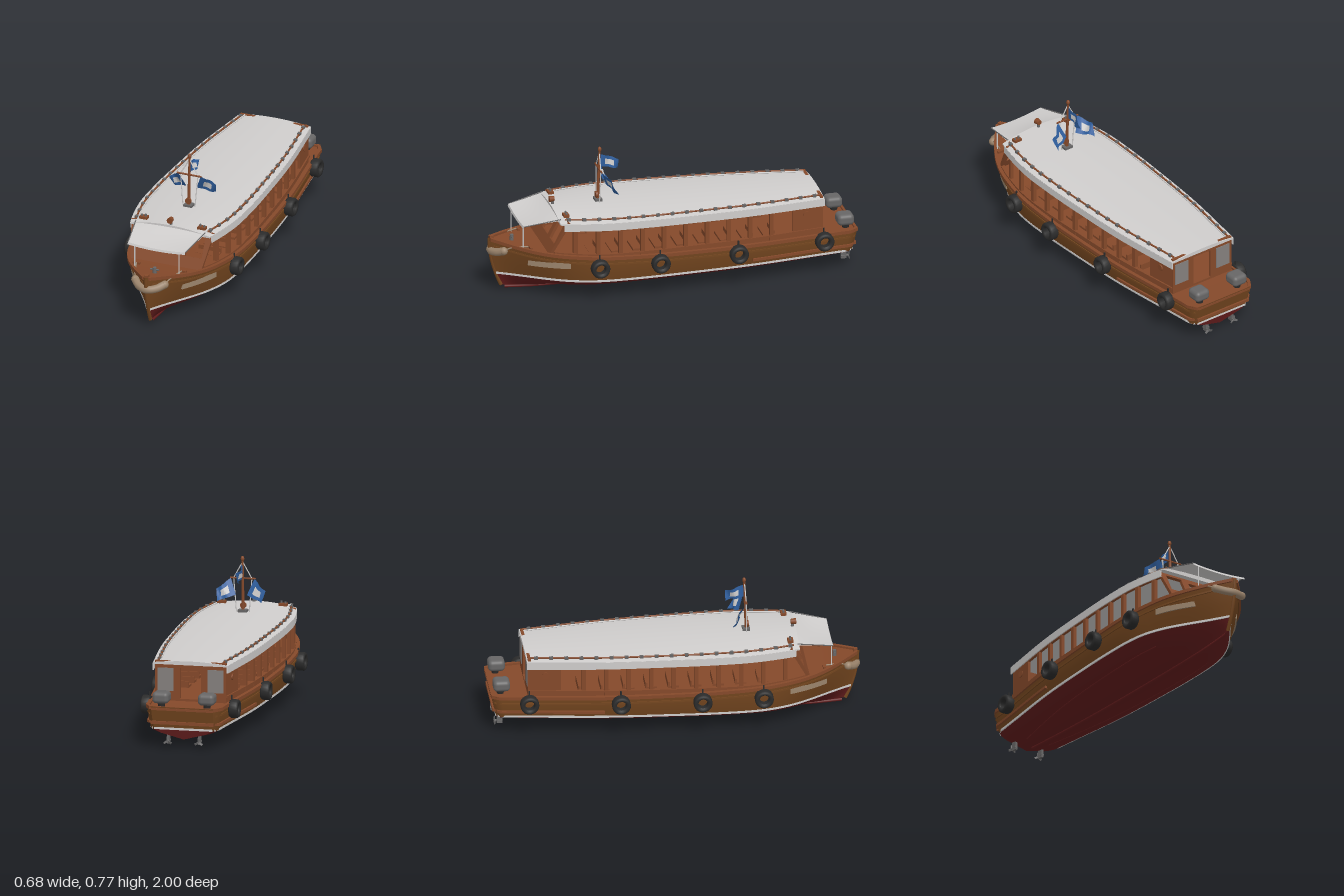
import * as THREE from 'three';
import { toCreasedNormals } from 'three/addons/utils/BufferGeometryUtils.js';
import { RoundedBoxGeometry } from 'three/addons/geometries/RoundedBoxGeometry.js';

const mat = (name, color, side = THREE.FrontSide) => {
  const m = new THREE.MeshStandardMaterial({ color, side });
  m.name = name;
  return m;
};
const V = (x, y, z) => new THREE.Vector3(x, y, z);

// smooth interpolation through [position, value] pairs
function curve(pts) {
  const slope = i => {
    const a = pts[Math.max(i - 1, 0)], b = pts[Math.min(i + 1, pts.length - 1)];
    return (b[1] - a[1]) / (b[0] - a[0]);
  };
  return z => {
    let i = 0;
    while (i < pts.length - 2 && z > pts[i + 1][0]) i++;
    const h = pts[i + 1][0] - pts[i][0], t = THREE.MathUtils.clamp((z - pts[i][0]) / h, 0, 1);
    const t2 = t * t, t3 = t2 * t;
    return (2 * t3 - 3 * t2 + 1) * pts[i][1] + (t3 - 2 * t2 + t) * h * slope(i)
      + (3 * t2 - 2 * t3) * pts[i + 1][1] + (t3 - t2) * h * slope(i + 1);
  };
}
const beam = curve([[-1, .17], [-.975, .195], [-.9, .203], [-.8, .215], [-.4, .265], [0, .288], [.2, .293],
  [.4, .287], [.6, .252], [.7, .22], [.8, .168], [.9, .095], [1, .008]]);
const sheer = curve([[-1, .225], [-.8, .225], [0, .235], [.4, .248], [.6, .26], [.8, .278], [1, .308]]);
const keel = curve([[-1, .045], [-.5, .02], [0, .008], [.8, .008], [1, .03]]);
const WATER = .1;

// skin a row of rings; rings run clockwise seen from the end they advance to
function loft(rings, closed = true, caps = true, crease = .6) {
  const n = rings[0].length, idx = [], pos = [];
  rings.forEach(r => r.forEach(p => pos.push(p.x, p.y, p.z)));
  for (let i = 0; i < rings.length - 1; i++) for (let j = 0; j < (closed ? n : n - 1); j++) {
    const k = (j + 1) % n, a = i * n + j, b = a + n, c = (i + 1) * n + k, d = i * n + k;
    idx.push(a, b, c, a, c, d);
  }
  const e = (rings.length - 1) * n;
  if (caps) for (let j = 1; j < n - 1; j++) idx.push(0, j, j + 1, e, e + j + 1, e + j);
  const g = new THREE.BufferGeometry();
  g.setAttribute('position', new THREE.Float32BufferAttribute(pos, 3));
  g.setIndex(idx);
  g.computeVertexNormals();
  return toCreasedNormals(g, crease);
}
const range = (a, b, n) => Array.from({ length: n + 1 }, (_, i) => a + (b - a) * i / n);

// half section of the hull at station s, keel to sheer
const MID = [0, .35, .72, .87, .925, .97, .99, 1], BOW = [0, .18, .4, .52, .6, .75, .88, 1];
const UP = [0, .3, .6, .85, 1, .35, .7, 1];
function section(s) {
  const u = THREE.MathUtils.smoothstep(s, .45, 1), w = 1 - THREE.MathUtils.smoothstep(s, -1, -.85);
  return MID.map((m, i) => {
    const y = i < 5 ? keel(s) + (WATER - keel(s)) * UP[i] : WATER + (sheer(s) - WATER) * UP[i];
    const d = 1 - y / sheer(s);
    return V(beam(s) * (m + (BOW[i] - m) * u), y, s - .012 * u - .08 * u * d * d + .05 * w * d);
  });
}
function hullAt(s, y) {
  const r = section(s);
  let i = 0;
  while (i < 6 && y > r[i + 1].y) i++;
  return r[i].clone().lerp(r[i + 1], (y - r[i].y) / (r[i + 1].y - r[i].y));
}
const rect = (x0, x1, y0, y1, z) => [V(x1, y1, z), V(x1, y0, z), V(x0, y0, z), V(x0, y1, z)];
// raised band running along the hull side
const band = (s0, s1, yAt, h, t) => loft(range(s0, s1, 40).map(s => {
  const p = hullAt(s, yAt(s));
  return rect(Math.max(p.x - .01, 0), p.x + t, p.y - h / 2, p.y + h / 2, p.z);
}));
// curved piece of cabin side; y0 and y1 are functions of z
const cabinX = z => beam(z) - .02;
const wall = (z0, z1, y0, y1, out = 0, t = .014, n = 24) => loft(range(z0, z1, n).map(z =>
  rect(cabinX(z) + out - t, cabinX(z) + out, y0(z), y1(z), z)));

export function createModel() {
  const boat = new THREE.Group();
  boat.name = 'passengerBoat';
  const hullWood = mat('hull wood', 0x74461f), wood = mat('cabin wood', 0x85492a, THREE.DoubleSide);
  const red = mat('bottom red', 0x641d1d), white = mat('canvas white', 0xcfcdcc, THREE.DoubleSide);
  const rubber = mat('rubber black', 0x2b2b2b), grey = mat('motor grey', 0x676666);
  const glass = mat('glass grey', 0x85807e), blue = mat('flag blue', 0x2f5f9f, THREE.DoubleSide);
  const rope = mat('rope beige', 0x9b846c);

  const add = (name, geo, m, x = 0, y = 0, z = 0, parent = boat) => {
    const o = new THREE.Mesh(geo, m);
    o.name = name;
    o.position.set(x, y, z);
    parent.add(o);
    return o;
  };
  const both = (name, geo, m, x, y, z) => {
    const l = add(name + 'Left', geo, m, x, y, z), flip = new THREE.Group();
    flip.scale.x = -1;
    flip.name = name + 'Right';
    flip.add(l.clone());
    boat.add(flip);
  };
  const tube = (pts, r, n = 24) => new THREE.TubeGeometry(new THREE.CatmullRomCurve3(pts), n, r, 8);
  const box = (x, y, z) => new THREE.BoxGeometry(x, y, z);
  const cyl = (a, b, h, n = 16) => new THREE.CylinderGeometry(a, b, h, n);
  const flipX = p => V(-p.x, p.y, p.z);

  // hull, deck, stem and keel
  const stations = [-1, -.99, -.975, -.95, ...range(-.9, .9, 45), .93, .96, .985, 1];
  add('hullBottom', loft(stations.map(s => {
    const r = section(s).slice(0, 5);
    return [...r.slice().reverse(), ...r.slice(1).map(flipX)];
  }), false), red);
  add('hullSides', loft(stations.map(s => {
    const r = section(s).slice(4);
    return [...r.slice().reverse(), ...r.map(flipX)];
  }), false), hullWood);
  add('deck', loft(stations.map(s => [V(-beam(s) + .003, sheer(s) - .008, s - .012 * (s > .7)),
    V(beam(s) - .003, sheer(s) - .008, s - .012 * (s > .7))]), false, false), wood);
  add('stem', tube(section(1).map(p => V(0, p.y, p.z - .004)), .01), hullWood);
  add('stemHead', box(.022, .03, .022), wood, 0, .303, .972);
  add('keel', tube(range(-.9, .9, 12).map(s => V(0, keel(s) + .001, s)), .008), red);
  both('gunwale', band(-1, .995, s => sheer(s) - .006, .018, .01), wood);
  both('upperStrake', band(-.99, .98, s => sheer(s) - .04, .01, .005), hullWood);
  both('lowerStrake', band(-.99, -.4, () => .137, .014, .012), wood);
  both('waterlineStripe', band(-.99, .995, () => .104, .012, .003), white);
  add('transomStripe', box(.32, .012, .006), white, 0, .104, -.972);
  add('transomStrake', box(.34, .016, .024), wood, 0, .137, -.98);
  add('transomRail', box(.34, .02, .014), wood, 0, .216, -.992);
  both('bowPlate', band(.6, .82, () => .2, .034, .004), rope);
  both('bilgeStrake', tube(range(-.85, .5, 12).map(s => hullAt(s, .055)), .004), red);

  // cabin sides: sill, pillars, rear panels and top beam
  const edge = z => .425 + .015 * (z + .8) / 1.4;
  both('cabinSill', wall(-.8, .69, z => sheer(z) - .02, z => Math.max(.255, sheer(z) + .008)), wood);
  both('cabinTopBeam', wall(-.8, .62, z => edge(z) - .04, edge), wood);
  both('rearPanel', wall(-.8, -.63, () => .22, edge), wood);
  for (let i = 0; i < 10; i++) {
    const z = -.51 + i * .12;
    both('windowPillar', wall(z - .011, z + .011, () => .23, edge, .004, .02, 1), wood);
  }
  both('sillRail', wall(-.8, .68, z => Math.max(.249, sheer(z)), z => Math.max(.259, sheer(z) + .01), .008, .02), wood);
  const lamp = cyl(.018, .018, .012).rotateZ(Math.PI / 2);
  both('sideLamp', lamp, wood, cabinX(-.71), .345, -.71);

  // front and rear bulkheads with openings
  const panel = (b, t, h, holes) => {
    const s = new THREE.Shape([[-b, 0], [b, 0], [t, h], [-t, h]].map(p => new THREE.Vector2(...p)));
    holes.forEach(([x0, x1, y0, y1]) => s.holes.push(new THREE.Path(
      [[x0, y0], [x0, y1], [x1, y1], [x1, y0]].map(p => new THREE.Vector2(...p)))));
    return new THREE.ExtrudeGeometry(s, { depth: .016, bevelEnabled: false });
  };
  add('windscreenFrame', panel(.204, .238, .215, [[-.195, -.098, .068, .18], [-.057, .057, .068, .165],
    [.098, .195, .068, .18]]), wood, 0, .25, .695).rotation.x = -Math.atan(.1 / .19);
  add('rearBulkhead', panel(.195, .195, .215, [[-.057, .057, .012, .18]]), wood, 0, .22, -.804);
  both('rearWindow', box(.088, .125, .022), glass, .137, .335, -.796);

  // benches
  for (let i = 0; i < 9; i++) {
    both('benchSeat', box(.13, .012, .05), wood, .14, .24, -.5 + i * .12);
    both('benchBack', box(.13, .035, .01), wood, .14, .252, -.53 + i * .12);
  }

  // arched roof, hanging edge and rails
  const roofX = z => beam(z) - .009;
  const crown = z => .014 + .012 * (z + .8) / 1.4;
  const roofY = (x, z) => edge(z) + crown(z) * (1 - (x / roofX(z)) ** 2);
  add('roof', loft(range(-.81, .65, 36).map(z => {
    const w = roofX(z);
    return [...range(-w, w, 12).map(x => V(x, roofY(x, z), z)), V(w, edge(z) - .008, z), V(-w, edge(z) - .008, z)];
  })), white);
  both('roofSkirt', wall(-.81, .63, z => edge(z) - .042, z => edge(z) - .002, .012, .006), white);
  const railAt = z => V(roofX(z) - .03, roofY(roofX(z) - .03, z) + .009, z);
  both('roofRail', tube(range(-.79, .62, 14).map(railAt), .005, 60), wood);
  both('roofRope', tube(range(-.79, .62, 14).map(z => railAt(z).add(V(-.009, -.004, 0))), .004, 60), white);
  range(-.76, .6, 17).forEach(z => both('railFoot', box(.016, .014, .02), grey, ...railAt(z).toArray()));
  both('roofCleat', box(.045, .014, .03), wood, .168, .464, .605);
  both('cleatPost', cyl(.006, .006, .03, 8), grey, .158, .468, .605);
  both('cleatPostOuter', cyl(.006, .006, .026, 8), grey, .18, .466, .605);
  add('searchlightStand', cyl(.006, .01, .03, 10), grey, 0, .475, .635);
  add('searchlight', cyl(.017, .013, .028).rotateX(Math.PI / 2), wood, 0, .494, .64);

  // awning over the foredeck
  add('awning', loft(range(0, 1, 8).map(t => range(-1, 1, 14).map(k => V(k * (.205 - .04 * t),
    .462 - .042 * t - .012 * k * k * (1 - t) - .008 * Math.sin(t * Math.PI) * (1 - k * k)
    - .01 * t * (1 - k * k), .63 + .205 * t))), false, false), white);
  add('awningHem', loft([0, 1].map(t => range(-1, 1, 14).map(k =>
    V(k * .165, .42 - .01 * (1 - k * k) - t * .012, .835 + .004 * t))), false, false), white);
  both('awningPost', cyl(.0035, .0035, .14, 8), white, .128, .342, .83);
  both('awningStay', tube([V(.2, .455, .64), V(.165, .418, .835)], .003, 4), grey);

  // foredeck fittings and bow fender
  add('bitt', cyl(.01, .012, .045, 10), grey, 0, .29, .86);
  add('bittBar', cyl(.005, .005, .05, 8).rotateZ(Math.PI / 2), grey, 0, .3, .86);
  both('bowCleat', box(.04, .012, .014), wood, .135, .283, .79);
  add('bowFender', tube([V(-.085, .256, .925), V(-.05, .24, .957), V(0, .234, .976), V(.05, .24, .957),
    V(.085, .256, .925)], .022, 24), rope);
  both('fenderEnd', new THREE.SphereGeometry(.022, 12, 8), rope, .085, .256, .925);
  both('fenderRope', tube([V(.088, .262, .92), V(.105, .28, .88), V(.13, .288, .8)], .004), rope);

  // tyre fenders
  const tyre = new THREE.LatheGeometry([[.026, -.018], [.032, -.025], [.044, -.025], [.05, -.017], [.05, .017],
    [.044, .025], [.032, .025], [.026, .018], [.026, -.018]].map(p => new THREE.Vector2(...p)), 24).rotateZ(Math.PI / 2);
  for (const z of [.45, .12, -.315, -.8]) {
    const x = hullAt(z, .19).x;
    both('tyreFender', tyre, rubber, x + .028, .193, z);
    both('tyreRope', box(.006, .06, .008), rubber, x + .012, .235, z);
  }

  // outboard motors
  both('motorCowl', new RoundedBoxGeometry(.09, .062, .09, 4, .022), grey, .125, .268, -.94);
  both('motorNeck', cyl(.022, .018, .04), rubber, .125, .23, -.945);
  both('motorLeg', box(.014, .07, .03), grey, .085, .055, -.945);
  both('motorFoot', cyl(.009, .006, .045, 10).rotateX(Math.PI / 2), grey, .085, .035, -.952);
  for (let i = 0; i < 3; i++) {
    const a = i * Math.PI * 2 / 3;
    both('propellerBlade', box(.012, .022, .004).translate(0, .013, 0).rotateY(.4).rotateZ(a), grey, .085, .035, -.972);
  }

  // mast, crossbar and stays
  add('mast', cyl(.006, .009, .29, 12), wood, 0, .605, .382).rotation.x = -.04;
  add('mastTop', new THREE.SphereGeometry(.01, 12, 8).scale(1, 1.5, 1), wood, 0, .752, .376);
  add('mastDisc', cyl(.017, .017, .012, 20).rotateX(Math.PI / 2), wood, 0, .495, .394);
  add('mastFoot', box(.05, .016, .04), grey, 0, .466, .386);
  add('crossbar', cyl(.005, .005, .14, 10).rotateZ(Math.PI / 2), wood, 0, .645, .382);
  both('mastStay', tube([V(0, .735, .378), V(.05, .645, .382)], .003, 4), white);
  both('mastStayLower', tube([V(.05, .645, .382), V(.035, .462, .385)], .003, 4), white);

  // rippled flags, each a blue cloth with a white centre on both faces
  const flag = (a, b, c, d, ripple) => {
    const cloth = (lo, hi, off) => loft(range(lo, hi, 10).map(u => range(lo, hi, 10).map(v =>
      a.clone().lerp(b, u).lerp(d.clone().lerp(c, u), v)
        .addScaledVector(ripple, Math.sin(u * 8 + v * 2) * u + off))), false, false, 1);
    return [[cloth(0, 1, 0), blue], [cloth(.28, .75, .25), white], [cloth(.28, .75, -.25), white]];
  };
  flag(V(.065, .645, .38), V(.132, .59, .325), V(.122, .53, .305), V(.03, .56, .35), V(.003, 0, .012))
    .forEach(([g, m]) => both('sideFlag', g, m));
  flag(V(0, .725, .374), V(0, .69, .275), V(0, .635, .275), V(0, .655, .374), V(.014, 0, 0))
    .forEach(([g, m]) => add('mastFlag', g, m));
  return boat;
}
